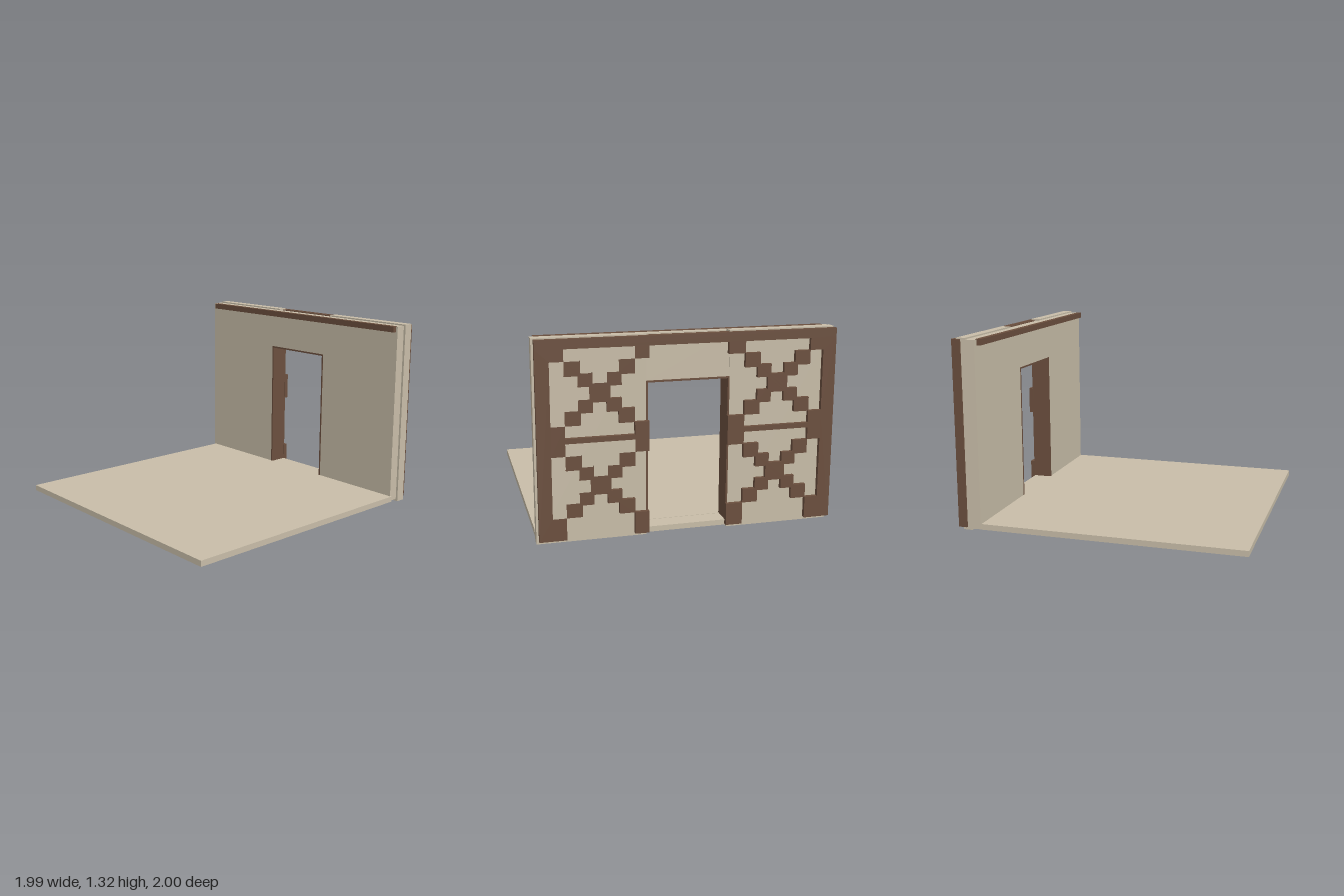
import * as THREE from 'three';

export function createModel() {
  const model = new THREE.Group();
  model.name = 'wallWithDoorway';
  const plaster = new THREE.MeshStandardMaterial({ color: 0xc8bda8 });
  plaster.name = 'plaster';
  const wood = new THREE.MeshStandardMaterial({ color: 0x6b4f3e });
  wood.name = 'darkWood';

  const add = (name, geometry, material) => {
    const mesh = new THREE.Mesh(geometry, material);
    mesh.name = name;
    model.add(mesh);
    return mesh;
  };
  // Box given by its limits
  const box = (name, material, x0, x1, y0, y1, z0, z1) =>
    add(name, new THREE.BoxGeometry(x1 - x0, y1 - y0, z1 - z0), material)
      .position.set((x0 + x1) / 2, (y0 + y1) / 2, (z0 + z1) / 2);

  // Floor and door sill
  box('floor', plaster, -0.985, 0.985, 0.01, 0.05, -0.845, 1);
  box('sill', plaster, -0.27, 0.27, 0.012, 0.048, -0.968, -0.845);

  // Inner wall layer around the doorway
  box('innerWallRight', plaster, -0.995, -0.272, 0.015, 1.31, -0.905, -0.835);
  box('innerWallLeft', plaster, 0.272, 0.975, 0.015, 1.31, -0.905, -0.835);
  box('innerWallHeader', plaster, -0.272, 0.272, 1.02, 1.31, -0.9, -0.835);

  // Outer wall layer, slightly taller at the sides
  box('outerWallRight', plaster, -0.982, -0.272, 0, 1.32, -0.972, -0.905);
  box('outerWallLeft', plaster, 0.272, 0.99, 0, 1.32, -0.972, -0.905);
  box('outerWallHeader', plaster, -0.272, 0.272, 1.02, 1.305, -0.968, -0.905);

  // Door lining
  box('jambRight', wood, -0.276, -0.264, 0.02, 1.022, -0.974, -0.833);
  box('jambLeft', wood, 0.264, 0.276, 0.02, 1.022, -0.974, -0.833);
  box('jambTop', wood, -0.276, 0.276, 1.01, 1.022, -0.974, -0.833);

  // Rail along the top of the inner face
  box('topRail', wood, -0.96, 0.96, 1.27, 1.312, -0.845, -0.808);

  // Stepped lattice on the back: u runs from the outer edge towards the door
  const midU = 0.4, cellU = 0.089, cellV = 0.081;
  const depths = [3.5, 2.5, 1.55, 0.75];
  const halves = [2.5, 1.35, 0.5];
  // Stepped window, running from its wide side to its tip and back
  const steps = [];
  halves.forEach((h, i) => steps.push([-h, depths[i]], [-h, depths[i + 1]]));
  const profile = [...steps, ...steps.map(([a, d]) => [-a, d]).reverse()];
  const vertical = (cy, dir) => profile.map(([a, d]) => [midU + a * cellU, cy + dir * d * cellV]);
  const sideways = (cy, dir) => profile.map(([a, d]) => [midU + dir * d * cellU, cy + a * cellV]);

  const upper = 0.97, lower = 0.37, bottom = 0.02, top = 1.255;
  const lattice = (name, outerX, sign, width) => {
    const toPoint = ([u, y]) => new THREE.Vector2(outerX - sign * u, y);
    const open = (points) => points.map(([u, y], i, all) =>
      [i === 0 || i === all.length - 1 ? width : u, y]);
    const foot = vertical(lower, -1).map(([u, y], i, all) =>
      [u, i === 0 || i === all.length - 1 ? bottom : y]);
    const outline = [
      [0, bottom], ...foot, [width, bottom],
      ...open(sideways(lower, 1)), ...open(sideways(upper, 1)),
      [width, top], [0, top],
    ];
    const shape = new THREE.Shape(outline.map(toPoint));
    const windows = [
      sideways(upper, -1), sideways(lower, -1),
      vertical(upper, 1), vertical(upper, -1), vertical(lower, 1),
    ];
    // Keep the top window just under the lattice head
    windows[2] = windows[2].map(([u, y]) => [u, Math.min(y, top - 0.004)]);
    windows.forEach((w) => shape.holes.push(new THREE.Path(w.map(toPoint))));
    add(name, new THREE.ExtrudeGeometry(shape, { depth: 0.032, bevelEnabled: false }), wood)
      .position.z = -1;
  };
  lattice('latticeLeft', 0.975, 1, 0.716);
  lattice('latticeRight', -0.995, -1, 0.734);
  box('latticeHead', wood, -0.995, 0.975, 1.25, 1.312, -1, -0.968);
  box('latticeHeadCap', wood, -0.272, 0.272, 1.25, 1.31, -0.969, -0.94);
  box('latticeEndPost', wood, -0.995, -0.98, 0.02, 1.31, -0.97, -0.94);

  return model;
}
